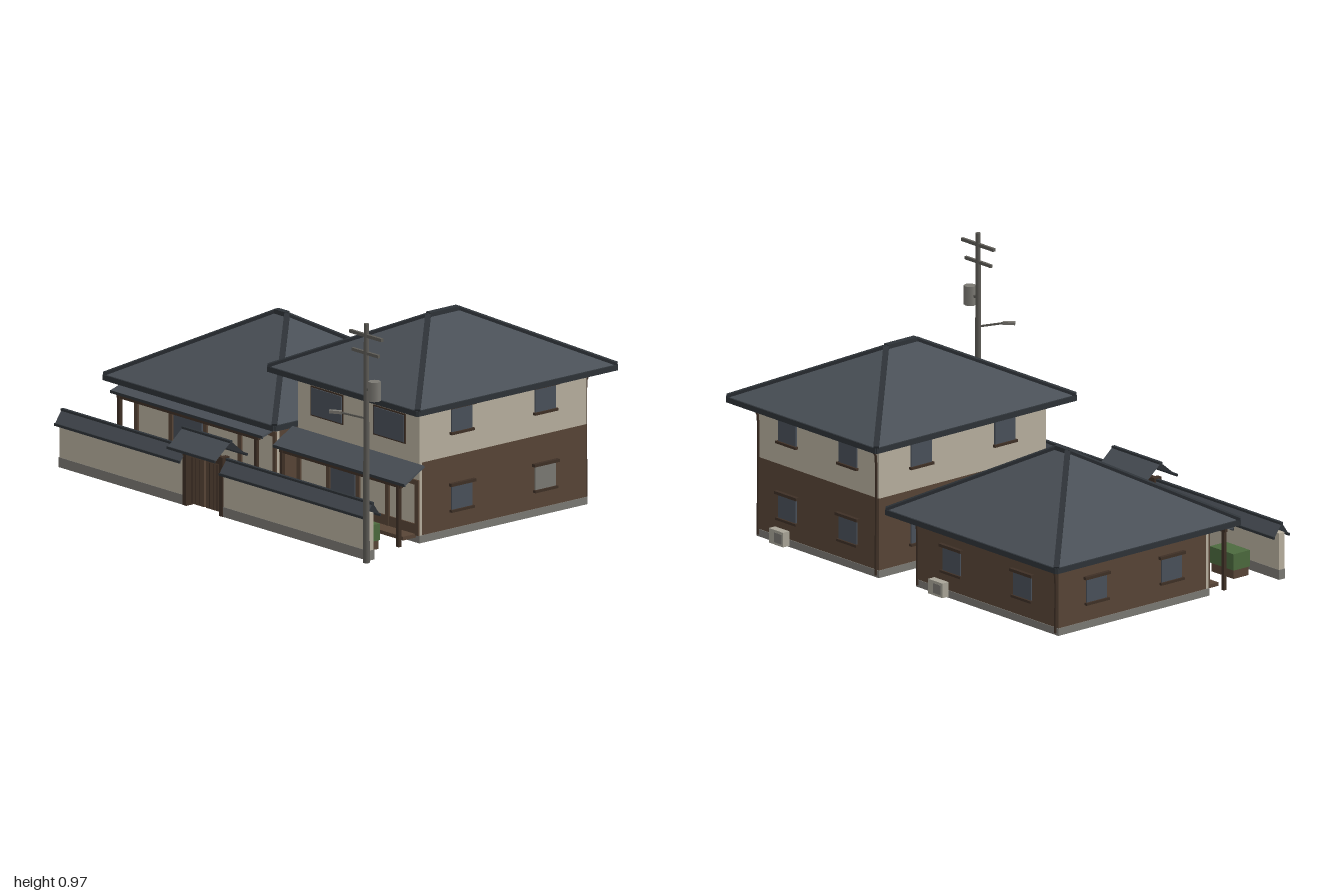
import * as THREE from 'three';

const mat = (name, color) => {
  const m = new THREE.MeshStandardMaterial({ color });
  m.name = name;
  return m;
};
const M = {
  roof: mat('slate tile', 0x4a5057), ridge: mat('dark ridge tile', 0x2e3338),
  cream: mat('cream plaster', 0xb8b09f), brown: mat('brown timber', 0x584536),
  dark: mat('dark timber', 0x3f3026), stone: mat('grey stone', 0x7b7973),
  glass: mat('window glass', 0x4a515a), green: mat('hedge green', 0x4c6a3e),
  pole: mat('pole grey', 0x5d5b56), metal: mat('light casing', 0xa9a598),
};
M.roof.side = THREE.DoubleSide;
M.roof.flatShading = true;

export function createModel() {
  const model = new THREE.Group();
  model.name = 'walledResidence';
  const V = (x, y, z) => new THREE.Vector3(x, y, z);

  const add = (name, geo, m, parent = model) => {
    const mesh = new THREE.Mesh(geo, m);
    mesh.name = name;
    parent.add(mesh);
    return mesh;
  };
  // Box given by its limits on each axis
  const box = (name, m, x0, x1, y0, y1, z0, z1, parent) => {
    const b = add(name, new THREE.BoxGeometry(x1 - x0, y1 - y0, z1 - z0), m, parent);
    b.position.set((x0 + x1) / 2, (y0 + y1) / 2, (z0 + z1) / 2);
    return b;
  };
  // Square bar running between two points
  const bar = (name, m, a, b, w, h, parent) => {
    const s = add(name, new THREE.BoxGeometry(w, h, a.distanceTo(b)), m, parent);
    s.position.copy(a).add(b).multiplyScalar(0.5);
    s.lookAt(b);
    return s;
  };
  const cyl = (name, m, r0, r1, h, sides, x, y, z, parent) => {
    const c = add(name, new THREE.CylinderGeometry(r0, r1, h, sides), m, parent);
    c.position.set(x, y, z);
    return c;
  };
  // Faces from loops of corners, fanned into triangles
  const faces = (loops) => {
    const p = [];
    for (const l of loops)
      for (let i = 1; i < l.length - 1; i++)
        for (const v of [l[0], l[i], l[i + 1]]) p.push(v.x, v.y, v.z);
    const g = new THREE.BufferGeometry();
    g.setAttribute('position', new THREE.Float32BufferAttribute(p, 3));
    g.computeVertexNormals();
    return g;
  };

  // Hipped roof with ridge, hip caps and eave boards
  function hipRoof(parent, x0, x1, z0, z1, y, top, ra, rb) {
    const lo = [V(x0, y, z1), V(x1, y, z1), V(x1, y, z0), V(x0, y, z0)];
    const hi = lo.map((v) => v.clone().setY(y + 0.02));
    const alongX = ra.x !== rb.x;
    const A = V(ra.x, top, ra.z), B = V(rb.x, top, rb.z);
    const ends = alongX ? [A, B, B, A] : [A, A, B, B];
    const loops = [];
    for (let i = 0; i < 4; i++) {
      const j = (i + 1) % 4;
      loops.push(ends[i] === ends[j] ? [hi[i], hi[j], ends[i]] : [hi[i], hi[j], ends[j], ends[i]]);
      bar('hipCap', M.ridge, hi[i], ends[i], 0.022, 0.016, parent);
      bar('eaveBoard', M.ridge, V(lo[i].x, y + 0.008, lo[i].z), V(lo[j].x, y + 0.008, lo[j].z), 0.012, 0.022, parent);
    }
    add('hippedRoof', faces(loops), M.roof, parent);
    bar('ridgeCap', M.ridge, A, B, 0.026, 0.022, parent);
    const soffit = add('soffit', faces([[lo[3], lo[2], lo[1], lo[0]]]), M.ridge, parent);
    soffit.position.y = 0.002;
  }

  function house(name, h) {
    const g = new THREE.Group();
    g.name = name;
    model.add(g);
    const { x0, x1, z0, z1 } = h, t = 0.012;
    // Box fixed to a wall: u runs along the wall, d is its projection
    const onWall = (nm, m, side, u, y0, y1, w, d, off = 0) => {
      const a = u - w / 2, b = u + w / 2, e = off + d;
      if (side === 'front') box(nm, m, a, b, y0, y1, z1 + off, z1 + e, g);
      if (side === 'back') box(nm, m, a, b, y0, y1, z0 - e, z0 - off, g);
      if (side === 'left') box(nm, m, x1 + off, x1 + e, y0, y1, a, b, g);
      if (side === 'right') box(nm, m, x0 - e, x0 - off, y0, y1, a, b, g);
    };
    const ring = (nm, ms, y0, y1, out = 0) => {
      box(nm, ms[0], x0 - out, x1 + out, y0, y1, z1 - t, z1 + out, g);
      box(nm, ms[1], x0 - out, x1 + out, y0, y1, z0 - out, z0 + t, g);
      box(nm, ms[1], x0 - out, x0 + t, y0, y1, z0 + t, z1 - t, g);
      box(nm, ms[1], x1 - t, x1 + out, y0, y1, z0 + t, z1 - t, g);
    };
    const split = h.tall ? 0.325 : h.eave;
    ring('plinth', [M.stone, M.stone], 0, 0.03, 0.003);
    ring('lowerWall', [M.cream, M.brown], 0.03, split);
    if (h.tall) ring('upperWall', [M.cream, M.cream], split, h.eave);

    // Small windows with lintel and sill on the sides and back
    const floors = h.tall ? [0.105, 0.42] : [0.105];
    for (const side of ['left', 'right', 'back'])
      for (const y of floors)
        for (const f of [0.25, 0.75]) {
          const u = side === 'back' ? x0 + (x1 - x0) * f : z0 + (z1 - z0) * f;
          const shut = h.tall && side === 'left' && y < 0.2 && f < 0.5;
          onWall('window', shut ? M.stone : M.glass, side, u, y, y + 0.1, 0.105, 0.006);
          onWall('lintel', M.dark, side, u, y + 0.098, y + 0.11, 0.13, 0.016);
          onWall('sill', M.dark, side, u, y - 0.008, y + 0.002, 0.12, 0.014);
        }
    // Large upper front windows
    if (h.tall)
      for (const u of [0.285, 0.655]) {
        onWall('windowFrame', M.dark, 'front', u, 0.387, 0.508, 0.19, 0.004);
        onWall('frontWindow', M.glass, 'front', u, 0.393, 0.502, 0.178, 0.004, 0.004);
      }

    // Veranda: timber frame, glazed doors, deck, posts and lean-to roof
    const n = 4, w = x1 - x0, cx = (x0 + x1) / 2;
    for (let i = 0; i <= n; i++)
      onWall('framePost', M.brown, 'front', x0 + 0.01 + ((w - 0.02) * i) / n, 0.03, 0.25, 0.02, 0.008);
    onWall('frameBeam', M.brown, 'front', cx, 0.235, 0.255, w, 0.008);
    onWall('lowerBoard', M.brown, 'front', cx, 0.03, 0.075, w, 0.006);
    onWall('glassDoor', M.glass, 'front', x0 + w * 0.375, 0.08, 0.22, w * 0.2, 0.006);
    onWall('deck', M.brown, 'front', cx, 0.02, 0.035, w * 0.95, 0.07);
    for (const x of [x0 + 0.015, x1 - 0.015]) {
      box('verandaPost', M.dark, x - 0.007, x + 0.007, 0, 0.255, z1 + 0.088, z1 + 0.102, g);
      bar('verandaRafter', M.dark, V(x, 0.254, z1 + 0.1), V(x, h.lean - 0.012, z1), 0.012, 0.012, g);
    }
    box('verandaBeam', M.dark, x0, x1, 0.24, 0.255, z1 + 0.086, z1 + 0.1, g);
    bar('verandaRoof', M.roof, V(cx, 0.26, z1 + 0.103), V(cx, h.lean, z1), w + 0.06, 0.008, g);
    box('verandaEave', M.ridge, x0 - 0.03, x1 + 0.03, 0.253, 0.264, z1 + 0.1, z1 + 0.106, g);

    // Downpipes at the back corners
    for (const x of [x0 + 0.01, x1 - 0.01]) {
      const path = new THREE.CatmullRomCurve3([
        V(x, h.eave, z0 - 0.075), V(x, h.eave - 0.015, z0 - 0.05), V(x, h.eave - 0.03, z0 - 0.015),
        V(x, h.eave - 0.06, z0 - 0.008), V(x, 0.01, z0 - 0.008)]);
      add('downpipe', new THREE.TubeGeometry(path, 20, 0.005, 6), M.dark, g);
    }
    // Outdoor air unit
    const u = x1 - 0.15;
    onWall('airUnit', M.metal, 'back', u, 0.005, 0.065, 0.085, 0.032, 0.004);
    onWall('airUnitGrille', M.stone, 'back', u - 0.012, 0.015, 0.055, 0.045, 0.002, 0.036);
    hipRoof(g, ...h.roof);
  }

  house('twoStoreyHouse', {
    x0: 0.11, x1: 0.83, z0: -0.61, z1: 0.26, eave: 0.55, lean: 0.318, tall: true,
    roof: [0.03, 0.915, -0.695, 0.345, 0.55, 0.787, V(0.472, 0, -0.1), V(0.472, 0, -0.255)],
  });
  house('singleStoreyHouse', {
    x0: -0.91, x1: -0.07, z0: -0.57, z1: 0.21, eave: 0.295, lean: 0.292, tall: false,
    roof: [-0.995, 0.015, -0.655, 0.3, 0.295, 0.582, V(-0.52, 0, -0.18), V(-0.455, 0, -0.18)],
  });

  // Open tiled gable of two slopes along x
  const gable = (name, x0, x1, yEave, yTop, z, half) => {
    const [a, b] = [V(x0, yTop, z), V(x1, yTop, z)];
    add(name, faces([
      [V(x0, yEave, z + half), V(x1, yEave, z + half), b, a],
      [V(x1, yEave, z - half), V(x0, yEave, z - half), a, b]]), M.roof);
    box(name + 'Ridge', M.ridge, x0, x1, yTop - 0.006, yTop + 0.003, z - 0.007, z + 0.007);
    for (const s of [-1, 1])
      box(name + 'Edge', M.ridge, x0, x1, yEave - 0.003, yEave + 0.007, z + s * half - 0.003, z + s * half + 0.003);
  };

  // Garden wall in two runs with stone footing and tiled coping
  for (const [a, b] of [[-0.94, -0.2], [0.03, 0.89]]) {
    box('gardenWall', M.cream, a, b, 0, 0.19, 0.552, 0.58);
    box('wallFooting', M.stone, a - 0.002, b + 0.002, 0, 0.04, 0.55, 0.582);
  }
  gable('wallCoping', -0.945, -0.2, 0.175, 0.232, 0.562, 0.04);
  gable('wallCoping', 0.03, 0.897, 0.175, 0.232, 0.562, 0.04);

  // Gate
  for (const x of [-0.195, 0.02]) box('gatePost', M.dark, x - 0.011, x + 0.011, 0, 0.24, 0.548, 0.584);
  box('gateBeam', M.dark, -0.2, 0.03, 0.208, 0.235, 0.552, 0.58);
  for (const [a, b] of [[-0.184, -0.092], [-0.08, 0.009]]) {
    box('gateDoor', M.brown, a, b, 0.012, 0.205, 0.56, 0.572);
    for (let i = 1; i < 4; i++) {
      const x = a + ((b - a) * i) / 4;
      box('gateSlat', M.dark, x - 0.002, x + 0.002, 0.015, 0.2, 0.558, 0.574);
    }
  }
  gable('gateRoof', -0.23, 0.055, 0.237, 0.307, 0.56, 0.084);

  // Planters with hedges
  for (const [a, b, c, d] of [[-0.82, -0.68, 0.42, 0.505], [0.67, 0.79, 0.43, 0.505], [0.16, 0.32, 0.28, 0.33]]) {
    box('planter', M.brown, a + 0.004, b - 0.004, 0, 0.038, c + 0.004, d - 0.004);
    box('hedge', M.green, a, b, 0.036, 0.103, c, d);
  }
  // Stepping stones
  for (const [x, z] of [[-0.055, 0.34], [-0.1, 0.395], [-0.055, 0.452]])
    box('steppingStone', M.stone, x - 0.023, x + 0.023, 0, 0.008, z - 0.02, z + 0.02);

  // Stone lanterns
  for (const [x, z] of [[-0.365, 0.418], [0.077, 0.438]]) {
    const g = new THREE.Group();
    g.name = 'stoneLantern';
    g.position.set(x, 0, z);
    model.add(g);
    const block = (nm, m, r, y0, y1) => box(nm, m, -r, r, y0, y1, -r, r, g);
    block('lanternBase', M.stone, 0.028, 0, 0.02);
    block('lanternShaft', M.stone, 0.013, 0.02, 0.105);
    block('lanternShelf', M.stone, 0.028, 0.105, 0.118);
    block('lanternLight', M.cream, 0.021, 0.118, 0.152);
    const cap = cyl('lanternCap', M.stone, 0.012, 0.052, 0.03, 4, 0, 0.167, 0, g);
    cap.rotation.y = Math.PI / 4;
  }

  // Utility pole with cross arms, transformer and street lamp
  cyl('utilityPole', M.pole, 0.01, 0.014, 0.97, 12, 0.905, 0.485, 0.603);
  box('upperCrossArm', M.pole, 0.81, 1, 0.915, 0.928, 0.597, 0.609);
  box('lowerCrossArm', M.pole, 0.825, 0.98, 0.845, 0.857, 0.597, 0.609);
  cyl('transformer', M.stone, 0.025, 0.025, 0.078, 8, 0.95, 0.705, 0.6);
  box('transformerBracket', M.pole, 0.905, 0.94, 0.7, 0.71, 0.597, 0.609);
  bar('lampArm', M.pole, V(0.905, 0.585, 0.603), V(0.82, 0.606, 0.672), 0.007, 0.007);
  bar('streetLamp', M.stone, V(0.828, 0.605, 0.664), V(0.79, 0.607, 0.695), 0.018, 0.012);
  return model;
}
